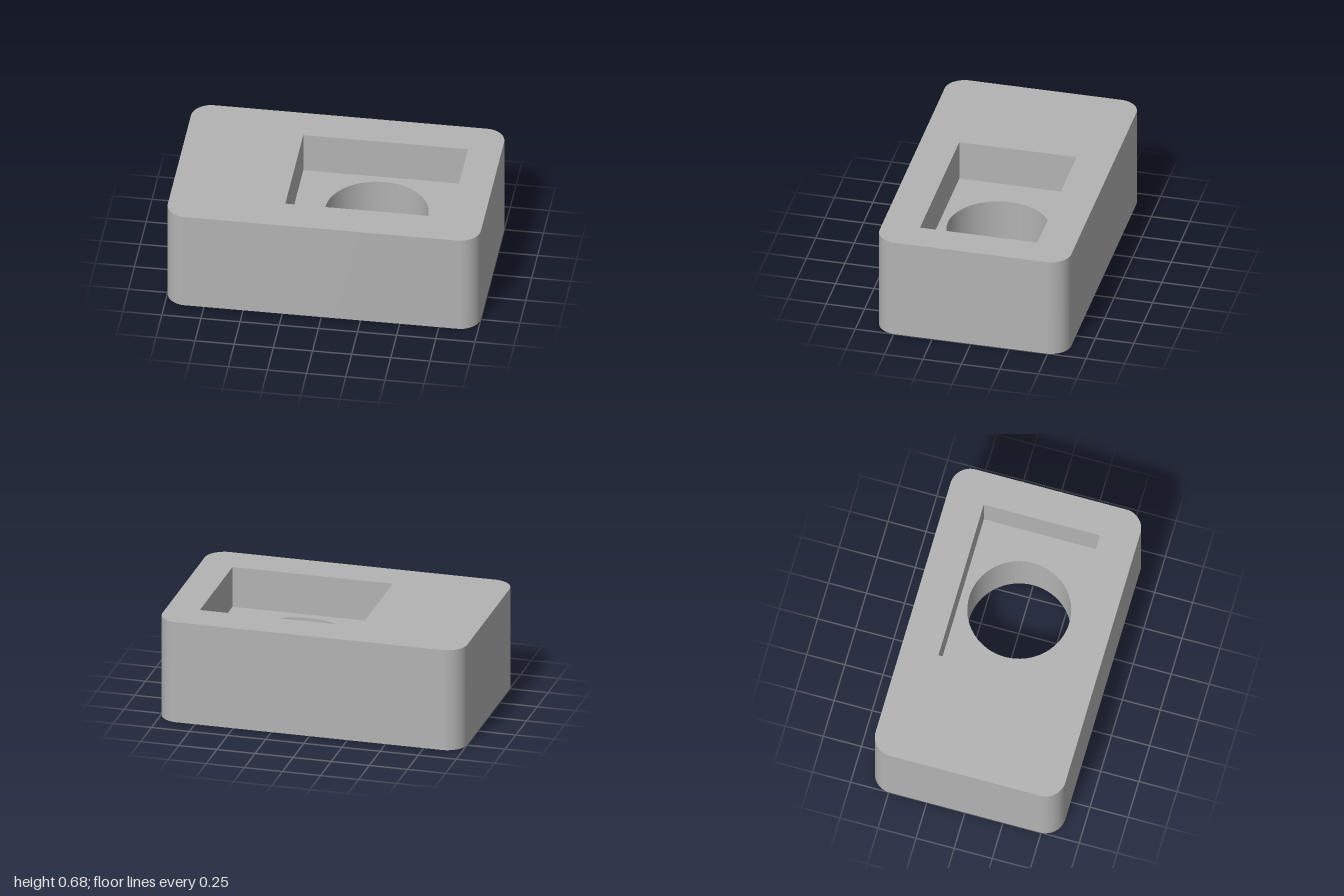
import * as THREE from 'three';
import { mergeGeometries, toCreasedNormals } from 'three/addons/utils/BufferGeometryUtils.js';

const W = 1, D = 0.623, H = 0.68, R = 0.13;        // block half sizes, height, corner radius
const CX = 0.26, PW = 0.526, PD = 0.381, FLOOR = 0.41; // pocket centre, half sizes, floor height
const HOLE = 0.328;                                 // through-hole radius
const SEG = 32;

// Counter-clockwise outlines in plan
function blockOutline() {
  const s = new THREE.Shape();
  s.absarc(W - R, D - R, R, 0, Math.PI / 2);
  s.absarc(-W + R, D - R, R, Math.PI / 2, Math.PI);
  s.absarc(-W + R, -D + R, R, Math.PI, Math.PI * 1.5);
  s.absarc(W - R, -D + R, R, Math.PI * 1.5, Math.PI * 2);
  s.closePath();
  return s;
}

function pocketOutline() {
  const s = new THREE.Shape();
  s.moveTo(CX - PW, -PD).lineTo(CX + PW, -PD).lineTo(CX + PW, PD).lineTo(CX - PW, PD).closePath();
  return s;
}

function holeOutline() {
  const s = new THREE.Shape();
  s.absarc(CX, 0, HOLE, 0, Math.PI * 2);
  return s;
}

// Horizontal face with one opening, facing up or down
function face(outline, opening, y, up = true) {
  outline.holes.push(opening);
  const g = new THREE.ShapeGeometry(outline, SEG);
  g.rotateX(up ? -Math.PI / 2 : Math.PI / 2);
  return g.translate(0, y, 0).toNonIndexed();
}

// Vertical wall along an outline, facing outward or inward
function wall(outline, y0, y1, inward = false) {
  const pts = outline.getPoints(SEG);
  if (inward) pts.reverse();
  const pos = [], uv = [];
  pts.forEach((a, i) => {
    const b = pts[(i + 1) % pts.length];
    if (a.distanceTo(b) < 1e-5) return;
    pos.push(a.x, y0, -a.y, b.x, y0, -b.y, b.x, y1, -b.y);
    pos.push(a.x, y0, -a.y, b.x, y1, -b.y, a.x, y1, -a.y);
    uv.push(0, 0, 1, 0, 1, 1, 0, 0, 1, 1, 0, 1);
  });
  const g = new THREE.BufferGeometry();
  g.setAttribute('position', new THREE.Float32BufferAttribute(pos, 3));
  g.setAttribute('uv', new THREE.Float32BufferAttribute(uv, 2));
  g.computeVertexNormals();
  return g;
}

export function createModel() {
  const group = new THREE.Group();
  group.name = 'pocketedBlock';
  const grey = new THREE.MeshStandardMaterial({ color: 0xb3b3b3 });
  grey.name = 'grey';

  const add = (name, parts) => {
    const mesh = new THREE.Mesh(toCreasedNormals(mergeGeometries(parts), 0.5), grey);
    mesh.name = name;
    group.add(mesh);
  };

  // Rounded outer body
  add('block', [
    wall(blockOutline(), 0, H),
    face(blockOutline(), pocketOutline(), H),
    face(blockOutline(), holeOutline(), 0, false),
  ]);
  // Rectangular recess
  add('pocket', [
    wall(pocketOutline(), FLOOR, H, true),
    face(pocketOutline(), holeOutline(), FLOOR),
  ]);
  // Round hole through the pocket floor
  add('throughHole', [wall(holeOutline(), 0, FLOOR, true)]);

  return group;
}
